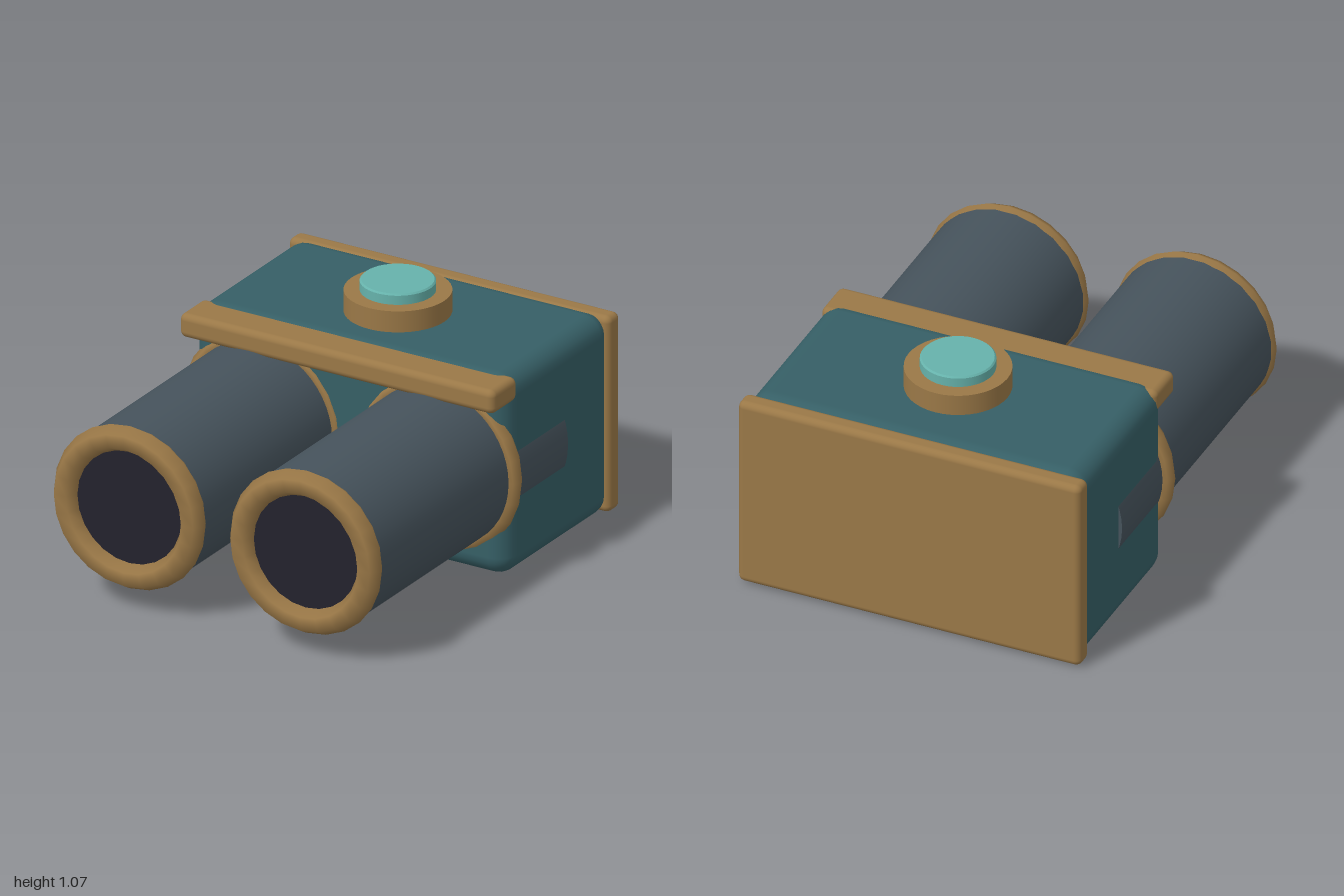
import * as THREE from 'three';
import { RoundedBoxGeometry } from 'three/addons/geometries/RoundedBoxGeometry.js';

const mat = (name, color) => {
  const m = new THREE.MeshStandardMaterial({ color });
  m.name = name;
  return m;
};

export function createModel() {
  const model = new THREE.Group();
  model.name = 'binocularViewer';

  const teal = mat('teal', 0x365f66);
  const brass = mat('brass', 0x9a7847);
  const slate = mat('slate', 0x46535c);
  const glass = mat('darkGlass', 0x23222d);
  const aqua = mat('aqua', 0x66b2ab);

  const add = (parent, name, geometry, material, x = 0, y = 0, z = 0) => {
    const mesh = new THREE.Mesh(geometry, material);
    mesh.name = name;
    mesh.position.set(x, y, z);
    parent.add(mesh);
    return mesh;
  };

  // rounded box given by its min and max corners
  const roundedBox = (name, material, [x0, y0, z0], [x1, y1, z1], radius) =>
    add(model, name, new RoundedBoxGeometry(x1 - x0, y1 - y0, z1 - z0, 3, radius), material,
      (x0 + x1) / 2, (y0 + y1) / 2, (z0 + z1) / 2);

  // housing, back plate and brow bar
  roundedBox('housing', teal, [-0.78, 0, -0.96], [0.78, 0.923, -0.105], 0.09);
  roundedBox('backPlate', brass, [-0.797, 0.01, -1], [0.797, 0.916, -0.905], 0.03);
  roundedBox('browBar', brass, [-0.78, 0.805, -0.2], [0.78, 0.915, 0], 0.03);

  // cylinder lying along z between two depths
  const tube = (parent, name, material, radius, z0, z1) => {
    const g = new THREE.CylinderGeometry(radius, radius, z1 - z0, 48);
    g.rotateX(Math.PI / 2);
    add(parent, name, g, material, 0, 0, (z0 + z1) / 2);
  };

  // two barrels, running deep into the housing
  for (const [side, s] of [['left', 1], ['right', -1]]) {
    const barrel = new THREE.Group();
    barrel.name = side + 'Barrel';
    barrel.position.set(s * 0.437, 0.463, 0);
    tube(barrel, 'barrelTube', slate, 0.36, -0.575, 0.93);
    tube(barrel, 'lens', glass, 0.29, 0.9, 0.952);
    add(barrel, 'frontRim', new THREE.TorusGeometry(0.315, 0.06, 6, 24), brass, 0, 0, 0.948);
    add(barrel, 'mountRing', new THREE.TorusGeometry(0.361, 0.042, 6, 24), brass, 0, 0, -0.132);
    model.add(barrel);
  }

  // focus button on top
  add(model, 'buttonCollar', new THREE.CylinderGeometry(0.23, 0.23, 0.14, 40), brass, 0, 0.95, -0.5);
  const cap = [[0.162, 0.98], [0.162, 1.062], [0.162, 1.062], [0.155, 1.069], [0.155, 1.069], [0, 1.069]];
  add(model, 'buttonCap', new THREE.LatheGeometry(cap.map(([r, y]) => new THREE.Vector2(r, y)), 40),
    aqua, 0, 0, -0.5);

  return model;
}
